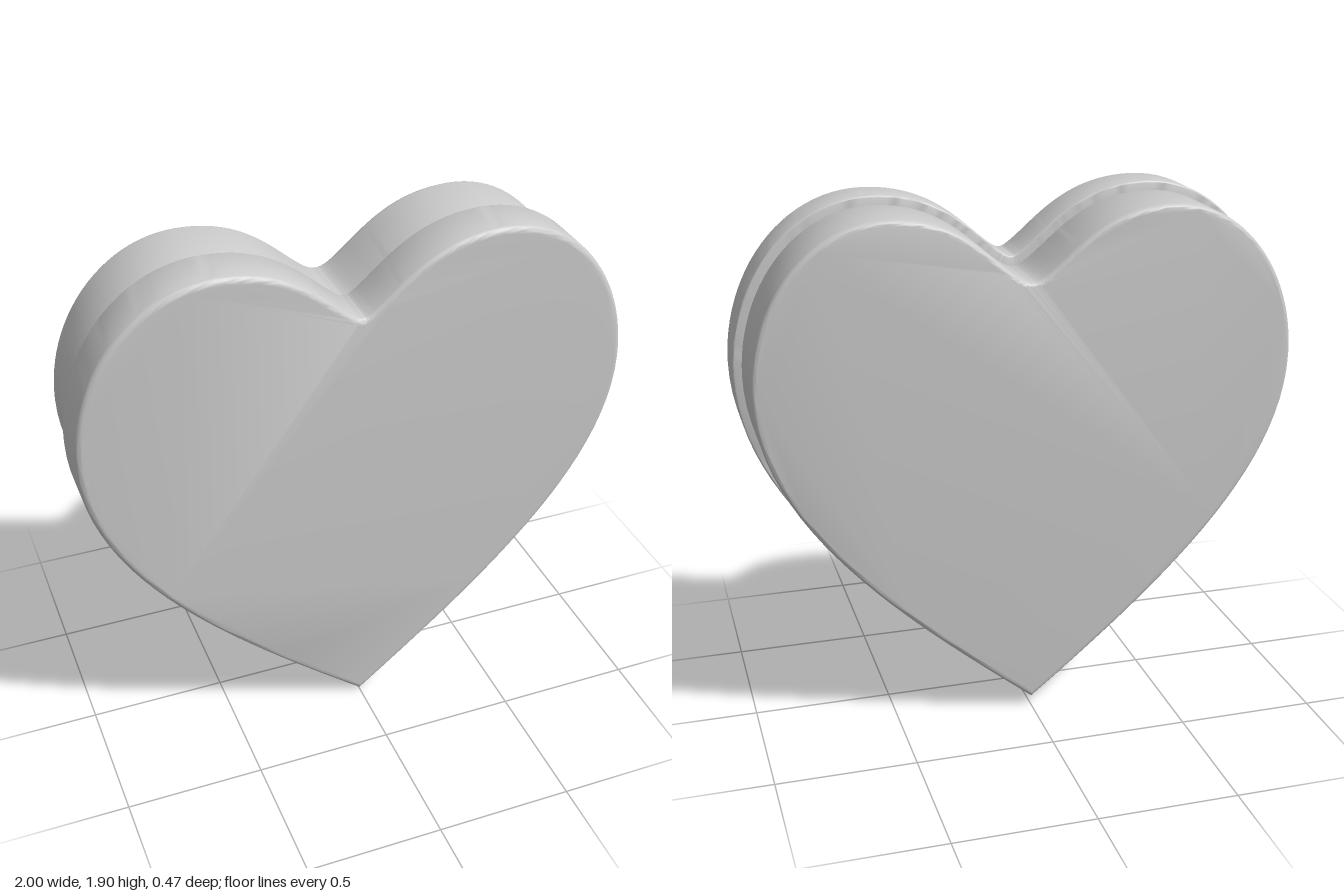
import * as THREE from 'three';
import { toCreasedNormals } from 'three/addons/utils/BufferGeometryUtils.js';

// Right half of the heart, from the tip up to the notch, then mirrored (counter-clockwise)
function heartOutline() {
  const half = new THREE.Shape();
  half.moveTo(0, 0);
  half.bezierCurveTo(0.5, 0.4, 1, 0.82, 1, 1.3);
  half.bezierCurveTo(1, 1.62, 0.79, 1.9, 0.5, 1.9);
  half.bezierCurveTo(0.24, 1.9, 0.13, 1.74, 0.03, 1.67);
  half.quadraticCurveTo(0.012, 1.658, 0, 1.658);
  const right = half.getPoints(24);
  const left = right.slice(1, -1).reverse().map((p) => new THREE.Vector2(-p.x, p.y));
  return [...right, ...left];
}

// Moves every outline point inward by d along the mitre of its two edges
function inset(points, d) {
  const n = points.length;
  return points.map((p, i) => {
    const e1 = p.clone().sub(points[(i + n - 1) % n]).normalize();
    const e2 = points[(i + 1) % n].clone().sub(p).normalize();
    const n1 = new THREE.Vector2(-e1.y, e1.x);
    const n2 = new THREE.Vector2(-e2.y, e2.x);
    const mitre = n1.clone().add(n2).normalize();
    return p.clone().addScaledVector(mitre, d / mitre.dot(n1));
  });
}

// Sweeps a profile of [inset, z] pairs round the heart; both ends are capped flat
function heartSolid(outline, profile) {
  const n = outline.length;
  const rings = profile.map(([d]) => inset(outline, d));
  const positions = [];
  const index = [];
  rings.forEach((ring, i) => ring.forEach((p) => positions.push(p.x, p.y, profile[i][1])));
  for (let i = 0; i < rings.length - 1; i++) {
    for (let j = 0; j < n; j++) {
      const a = i * n + j;
      const b = i * n + (j + 1) % n;
      index.push(a, a + n, b, b, a + n, b + n);
    }
  }
  const last = (rings.length - 1) * n;
  for (const [a, b, c] of THREE.ShapeUtils.triangulateShape(rings[0], [])) index.push(a, b, c);
  for (const [a, b, c] of THREE.ShapeUtils.triangulateShape(rings[rings.length - 1], [])) {
    index.push(last + a, last + c, last + b);
  }
  const geometry = new THREE.BufferGeometry();
  geometry.setAttribute('position', new THREE.Float32BufferAttribute(positions, 3));
  geometry.setIndex(index);
  return toCreasedNormals(geometry, 0.7);
}

// Quarter-round edge: front edges run face to side, back edges side to face
function roundEdge(d, z, r, back = false) {
  const steps = 5;
  return Array.from({ length: steps + 1 }, (_, i) => {
    const t = (i / steps) * Math.PI / 2;
    return back
      ? [d + r * (1 - Math.cos(t)), z + r * (1 - Math.sin(t))]
      : [d + r * (1 - Math.sin(t)), z - r * (1 - Math.cos(t))];
  });
}

export function createModel() {
  const group = new THREE.Group();
  group.name = 'heartBox';
  const material = new THREE.MeshStandardMaterial({ color: 0xcccccc });
  const outline = heartOutline();

  const add = (name, profile) => {
    const mesh = new THREE.Mesh(heartSolid(outline, profile), material);
    mesh.name = name;
    group.add(mesh);
  };

  // Lid: rounded front, straight side, rim and a shallow recess behind
  add('lid', [
    ...roundEdge(0, 0.235, 0.022),
    ...roundEdge(0, 0.05, 0.006, true),
    [0.085, 0.05],
    [0.085, 0.17],
  ]);

  // Base: hollow tray with a raised lip that fits into the lid
  add('base', [
    [0.13, -0.18],
    [0.13, 0.13],
    [0.09, 0.13],
    [0.09, 0.04],
    ...roundEdge(0.03, 0.04, 0.005),
    ...roundEdge(0.03, -0.235, 0.018, true),
  ]);

  return group;
}
